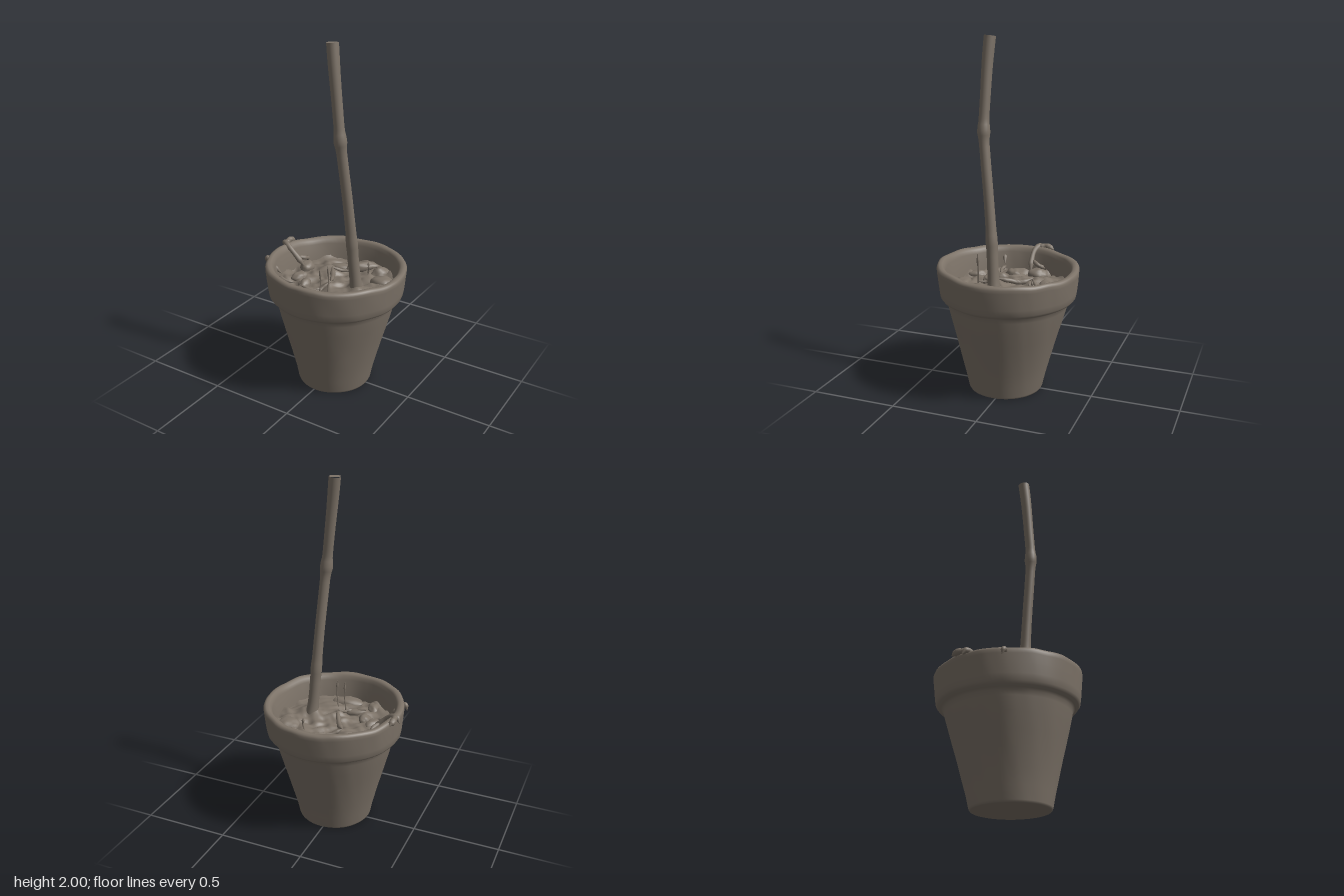
import * as THREE from 'three';
import { mergeVertices } from 'three/addons/utils/BufferGeometryUtils.js';

const V = (x, y, z) => new THREE.Vector3(x, y, z);
const clay = new THREE.MeshStandardMaterial({ color: 0x7d7368 });
clay.name = 'greyBrownClay';

// Smooth repeatable noise in about -1..1
function noise(x, y, z) {
  return (Math.sin(x * 2.1 + 1.7 * Math.sin(z * 1.3 + y)) + Math.sin(z * 2.7 + 1.4 * Math.sin(x * 1.9 - y))
    + Math.sin(y * 2.3 + x * 1.1 - z * 0.9)) / 3;
}

// Weld the seams, move every vertex by a rule and smooth the normals
function deform(geometry, rule) {
  geometry.deleteAttribute('uv');
  geometry.deleteAttribute('normal');
  const welded = mergeVertices(geometry, 1e-5);
  const pos = welded.attributes.position;
  const p = V(0, 0, 0);
  for (let i = 0; i < pos.count; i++) {
    rule(p.fromBufferAttribute(pos, i));
    pos.setXYZ(i, p.x, p.y, p.z);
  }
  welded.computeVertexNormals();
  return welded;
}

function soilHeight(x, z) {
  const clods = 0.022 * noise(x * 14, 1, z * 14) + 0.012 * noise(x * 33, 4, z * 33);
  const calm = THREE.MathUtils.smoothstep(Math.hypot(x - 0.18, z - 0.2), 0.06, 0.2);
  const mound = 0.045 * Math.exp(-(((x - 0.16) ** 2 + (z - 0.03) ** 2) / 0.008));
  return 0.605 + clods * (0.25 + 0.75 * calm) + mound;
}

// Round stem following points, with its own radius at every height
function taperedTube(points, radii, sides, steps) {
  const curve = new THREE.CatmullRomCurve3(points);
  const position = [], index = [];
  for (let i = 0; i <= steps; i++) {
    const t = i / steps;
    const c = curve.getPoint(t);
    const dir = curve.getTangent(t);
    const side = V(0.31, 0.17, 0.93).cross(dir).normalize();
    const other = dir.clone().cross(side);
    const f = t * (radii.length - 1), k = Math.min(Math.floor(f), radii.length - 2);
    const r = THREE.MathUtils.lerp(radii[k], radii[k + 1], f - k);
    for (let j = 0; j < sides; j++) {
      const a = j / sides * Math.PI * 2;
      const q = c.clone().addScaledVector(side, r * Math.cos(a)).addScaledVector(other, r * Math.sin(a));
      position.push(q.x, q.y, q.z);
      if (i < steps) {
        const a0 = i * sides + j, b0 = i * sides + (j + 1) % sides;
        index.push(a0, b0, b0 + sides, a0, b0 + sides, a0 + sides);
      }
    }
  }
  const g = new THREE.BufferGeometry();
  g.setAttribute('position', new THREE.Float32BufferAttribute(position, 3));
  g.setIndex(index);
  g.computeVertexNormals();
  return g;
}

export function createModel() {
  const model = new THREE.Group();
  const add = (name, geometry) => {
    const mesh = new THREE.Mesh(geometry, clay);
    mesh.name = name;
    model.add(mesh);
    return mesh;
  };

  // Pot: base, tapered wall, thick collar, rounded lip and inner wall
  const profile = [[0, 0], [0.1, 0], [0.205, 0], [0.211, 0.002], [0.216, 0.012], [0.23, 0.08], [0.253, 0.17], [0.276, 0.26],
    [0.3, 0.35], [0.322, 0.43], [0.341, 0.505], [0.346, 0.53], [0.358, 0.541], [0.377, 0.55], [0.388, 0.565],
    [0.393, 0.60], [0.398, 0.65], [0.403, 0.70], [0.404, 0.718], [0.399, 0.73], [0.388, 0.735], [0.372, 0.733],
    [0.36, 0.722], [0.354, 0.70], [0.343, 0.65], [0.335, 0.60], [0.325, 0.53]];
  const pot = new THREE.LatheGeometry(profile.map(([x, y]) => new THREE.Vector2(x, y)), 96);
  add('pot', deform(pot, (p) => {
    const up = THREE.MathUtils.smoothstep(p.y, 0.5, 0.73);
    const low = 1 - Math.min(p.y / 0.55, 1);
    const swell = 1 + 0.007 * noise(p.x * 9, p.y * 5, p.z * 9) + 0.003 * noise(p.x * 25, p.y * 14, p.z * 25);
    const wave = noise(p.x * 12, 0, p.z * 12);
    p.y += up * (-0.012 * p.x + 0.025 * p.z + 0.005 * wave);
    p.x = p.x * swell + 0.01;
    p.z = p.z * swell + 0.015 * low;
  }));

  // Cloddy soil surface
  const soil = new THREE.RingGeometry(0.0005, 0.342, 96, 36).rotateX(-Math.PI / 2);
  add('soil', deform(soil, (p) => { p.y = soilHeight(p.x, p.z); p.x += 0.005; }));

  // Stones, bark pieces and clods: x, z, size x, y, z, turn
  [[0.24, -0.14, 0.075, 0.04, 0.06, 0.4], [0.17, -0.24, 0.06, 0.045, 0.045, 0.8], [0.04, 0.27, 0.09, 0.03, 0.05, 0.2],
    [-0.08, -0.19, 0.08, 0.025, 0.03, 0.2], [0.04, -0.25, 0.1, 0.03, 0.035, 0.7], [-0.21, 0.05, 0.05, 0.03, 0.035, 1],
    [-0.14, 0.1, 0.035, 0.035, 0.045, 0.3], [-0.14, 0.25, 0.06, 0.03, 0.035, 2], [-0.25, -0.09, 0.04, 0.04, 0.06, 0.3],
    [-0.07, 0.16, 0.07, 0.025, 0.025, 0.3]].forEach(([x, z, sx, sy, sz, turn], i) => {
    const clod = deform(new THREE.IcosahedronGeometry(1, 4), (p) => {
      p.multiplyScalar(1 + 0.16 * noise(p.x * 2 + i, p.y * 2, p.z * 2 + i * 3));
    });
    const mesh = add('clod', clod);
    mesh.scale.set(sx, sy, sz);
    mesh.rotation.y = turn;
    mesh.position.set(x, soilHeight(x, z) - 0.003, z);
  });

  // Twigs lying on the soil: each a path of x, z with a thickness
  [[0.016, [[-0.09, -0.12], [-0.05, -0.06], [-0.01, 0.01], [0.02, 0.07]]],
    [0.011, [[-0.09, -0.11], [-0.04, -0.15], [0.02, -0.18]]],
    [0.010, [[0.0, 0.12], [-0.05, 0.16], [-0.13, 0.17]]],
    [0.009, [[0.02, 0.07], [-0.01, 0.13], [0.02, 0.19]]],
    [0.012, [[-0.31, 0.13], [-0.25, 0.14], [-0.2, 0.12]]]].forEach(([r, path]) => {
    const points = path.map(([x, z]) => V(x, soilHeight(x, z) + 0.014, z));
    add('twig', taperedTube(points, [0.001, r, r * 0.85, r * 0.8, 0.001], 10, 24));
  });

  // Roots climbing over the left edge of the lip
  const roots = [
    [[V(-0.24, 0.62, -0.05), V(-0.28, 0.67, -0.04), V(-0.34, 0.725, -0.04), V(-0.39, 0.743, -0.06), V(-0.412, 0.715, -0.075)], 0.017],
    [[V(-0.27, 0.64, -0.13), V(-0.26, 0.66, -0.09), V(-0.29, 0.68, -0.04)], 0.013],
    [[V(-0.375, 0.735, -0.05), V(-0.387, 0.745, -0.1), V(-0.378, 0.73, -0.15)], 0.018],
    [[V(-0.28, 0.64, 0.13), V(-0.33, 0.69, 0.145), V(-0.372, 0.725, 0.14), V(-0.385, 0.69, 0.135)], 0.014]];
  roots.forEach(([points, r]) => add('rimRoot', taperedTube(points, [0.001, r, r * 0.8, r, r * 0.9, 0.001], 12, 30)));

  // Cane with swollen joints, leaning as it rises
  const canePath = [V(0.168, 0.56, 0.022), V(0.152, 0.75, 0.037), V(0.143, 0.9, 0.047), V(0.128, 1.15, 0.07),
    V(0.114, 1.35, 0.092), V(0.102, 1.5, 0.106), V(0.08, 1.7, 0.103), V(0.06, 1.87, 0.098), V(0.045, 1.997, 0.09)];
  const caneRadius = [];
  for (let i = 0; i <= 48; i++) {
    const y = 0.56 + 1.44 * i / 48;
    const joint = (at, size, w) => size * Math.exp(-(((y - at) / w) ** 2));
    caneRadius.push(0.0315 - 0.003 * Math.min(1, Math.max(0, (y - 0.8) / 0.3)) + joint(0.9, 0.003, 0.04)
      + joint(1.5, 0.008, 0.035) + joint(2, 0.004, 0.2) + joint(0.56, 0.012, 0.08));
  }
  // Place points evenly by height so the joints land where they belong
  const path = new THREE.CatmullRomCurve3(canePath).getSpacedPoints(48);
  add('cane', taperedTube(path, caneRadius, 24, 96));
  const tip = new THREE.CircleGeometry(0.0325, 24).rotateX(-Math.PI / 2);
  const caneTip = add('caneTip', tip);
  caneTip.position.set(0.045, 1.997, 0.09);

  // Thin sprouts with small heads
  [[0.02, 0.185, 0.775], [0.06, 0.165, 0.79], [0.12, -0.18, 0.69], [0.13, -0.165, 0.68]].forEach(([x, z, top]) => {
    const base = soilHeight(x, z) - 0.01;
    add('sprout', taperedTube([V(x - 0.006, base, z), V(x + 0.002, (base + top) / 2, z - 0.004), V(x, top, z)],
      [0.003, 0.0025, 0.003, 0.003, 0.007, 0.001], 8, 24));
  });

  return model;
}
